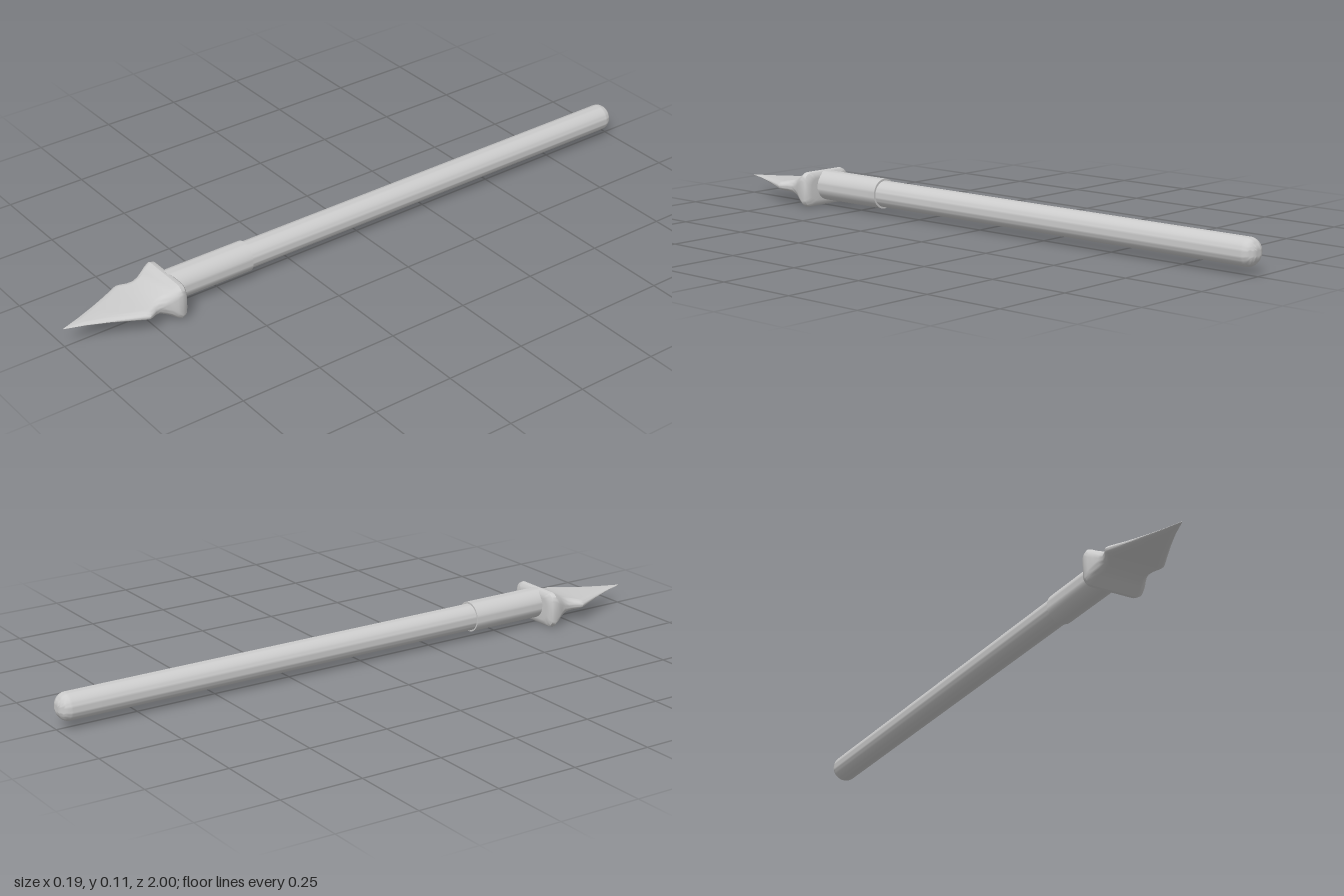
import * as THREE from 'three';
import { toCreasedNormals } from 'three/addons/utils/BufferGeometryUtils.js';

const material = new THREE.MeshStandardMaterial({ color: 0xcccccc });

function part(name, geometry) {
  const mesh = new THREE.Mesh(geometry, material);
  mesh.name = name;
  return mesh;
}

// Round bar along z from [radius, z] pairs
function turned(points, sides = 40) {
  const geometry = new THREE.LatheGeometry(points.map(([r, z]) => new THREE.Vector2(r, z)), sides);
  geometry.rotateX(Math.PI / 2);
  return toCreasedNormals(geometry, 0.7);
}

// Rounded rectangle outline, counter-clockwise seen from +z
function outline(w, h, steps = 6) {
  const rx = Math.min(0.025, w), ry = Math.min(0.027, h);
  const points = [];
  [[1, 1], [-1, 1], [-1, -1], [1, -1]].forEach(([sx, sy], corner) => {
    for (let i = 0; i <= steps; i++) {
      const a = (corner + i / steps) * Math.PI / 2;
      points.push([sx * (w - rx) + Math.cos(a) * rx, sy * (h - ry) + Math.sin(a) * ry]);
    }
  });
  return points;
}

// Skin over [z, half width, half height, centre y] sections, back to front
function loft(sections) {
  const positions = [], index = [];
  let n = 0;
  for (const [z, w, h, cy] of sections) {
    const ring = outline(w, h);
    n = ring.length;
    ring.forEach(([x, y]) => positions.push(x, y + cy, z));
  }
  for (let s = 0; s < sections.length - 1; s++) {
    for (let i = 0; i < n; i++) {
      const a = s * n + i, b = s * n + (i + 1) % n;
      index.push(a, b, b + n, a, b + n, a + n);
    }
  }
  const geometry = new THREE.BufferGeometry();
  geometry.setAttribute('position', new THREE.Float32BufferAttribute(positions, 3));
  geometry.setIndex(index);
  return toCreasedNormals(geometry, 0.7);
}

export function createModel() {
  const group = new THREE.Group();
  group.name = 'spear';

  // Shaft with a domed butt
  const shaftProfile = [];
  for (let i = 0; i <= 8; i++) {
    const a = (i / 8) * Math.PI / 2;
    shaftProfile.push([0.008 * Math.sin(a) + 0.033 * Math.sin(a), -0.966 - 0.034 * Math.cos(a)]);
  }
  shaftProfile.push([0.041, 0.45]);
  const shaft = part('shaft', turned(shaftProfile));
  shaft.position.set(-0.003, 0.064, 0);

  // Socket sleeve joining shaft and head
  const sleeve = part('sleeve', turned([[0.038, 0.4], [0.0465, 0.4], [0.0465, 0.665], [0, 0.665]]));
  sleeve.position.set(-0.002, 0.0645, 0);

  // Head: thick collar, pinched neck, flat tapering blade
  const head = part('head', loft([
    [0.652, 0.001, 0.001, 0.056],
    [0.65, 0.07, 0.035, 0.056],
    [0.652, 0.083, 0.046, 0.056],
    [0.659, 0.091, 0.053, 0.056],
    [0.672, 0.094, 0.055, 0.056],
    [0.685, 0.092, 0.047, 0.056],
    [0.7, 0.086, 0.038, 0.057],
    [0.718, 0.079, 0.03, 0.057],
    [0.735, 0.077, 0.0235, 0.057],
    [0.752, 0.082, 0.019, 0.057],
    [0.768, 0.091, 0.016, 0.057],
    [0.777, 0.094, 0.0145, 0.057],
    [0.786, 0.091, 0.0135, 0.057],
    [0.83, 0.07, 0.0105, 0.057],
    [0.88, 0.047, 0.0075, 0.058],
    [0.94, 0.022, 0.0045, 0.059],
    [1.0, 0.001, 0.001, 0.059],
  ]));

  group.add(shaft, sleeve, head);
  return group;
}
